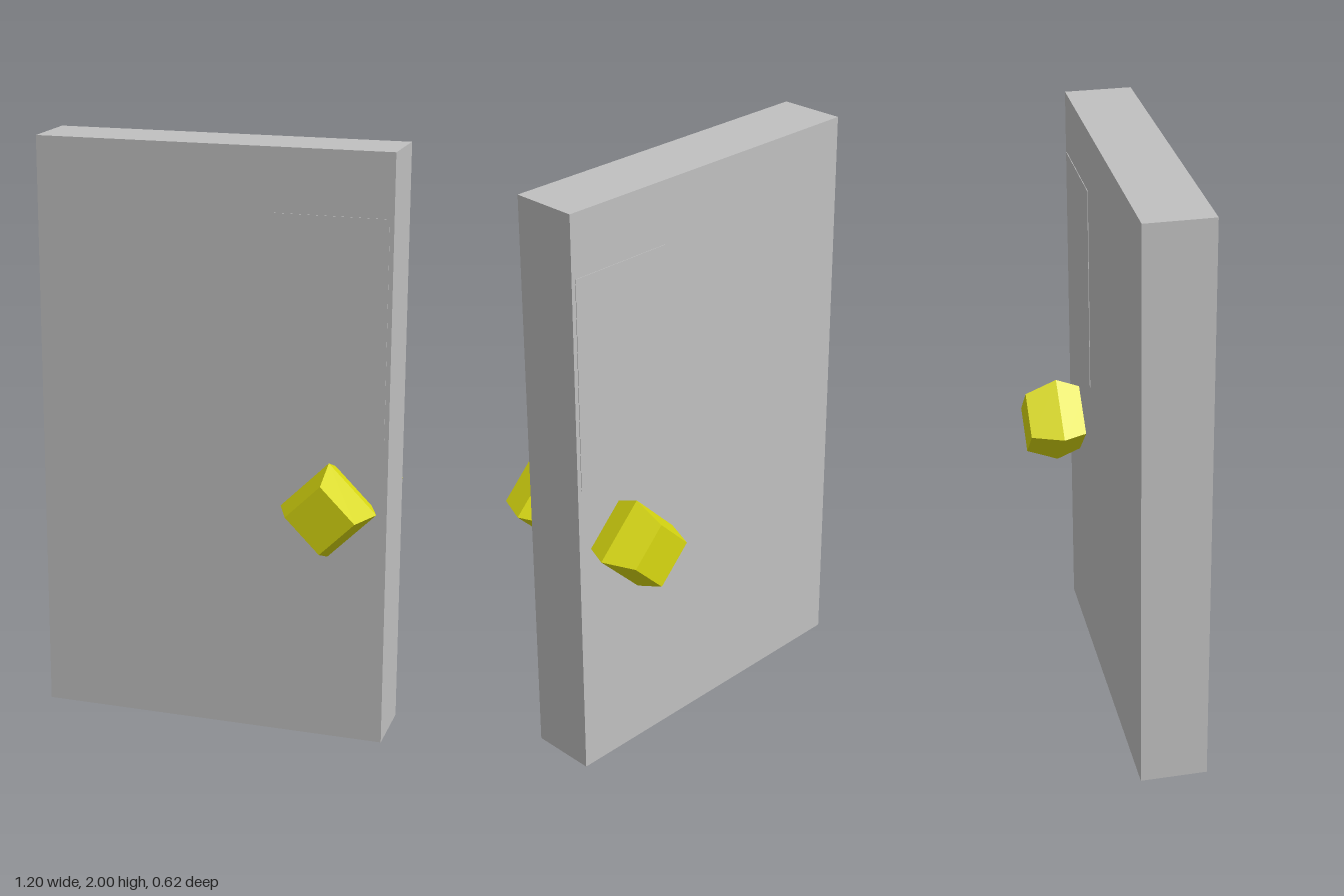
import * as THREE from 'three';

export function createModel() {
  const group = new THREE.Group();
  const grey = new THREE.MeshStandardMaterial({ color: 0xc0c0c0, flatShading: true });
  grey.name = 'door grey';
  const yellow = new THREE.MeshStandardMaterial({ color: 0xd8d810, flatShading: true });
  yellow.name = 'knob yellow';

  const add = (name, geometry, material, x, y, z) => {
    const mesh = new THREE.Mesh(geometry, material);
    mesh.name = name;
    mesh.position.set(x, y, z);
    group.add(mesh);
    return mesh;
  };

  // Door slab
  const front = 0.111, back = -0.116;
  add('doorSlab', new THREE.BoxGeometry(1.2, 2, front - back), grey, 0, 1, (front + back) / 2);

  // Four-sided knob: widest in the middle, flat at both ends
  const profile = [[0, -0.11], [0.115, -0.11], [0.16, 0], [0.115, 0.11], [0, 0.11]]
    .map(([r, h]) => new THREE.Vector2(r, h));
  const knob = new THREE.LatheGeometry(profile, 4).rotateX(Math.PI / 2);
  const pane = new THREE.BoxGeometry(0.375, 0.72, 0.004);

  // A knob and a nearly flush panel on each face
  for (const [side, sign, face] of [['front', 1, front], ['back', -1, back]]) {
    add(side + 'Knob', knob, yellow, 0.425, 0.843, sign * 0.199);
    add(side + 'Panel', pane, grey, 0.398, 1.43, face);
  }
  return group;
}
